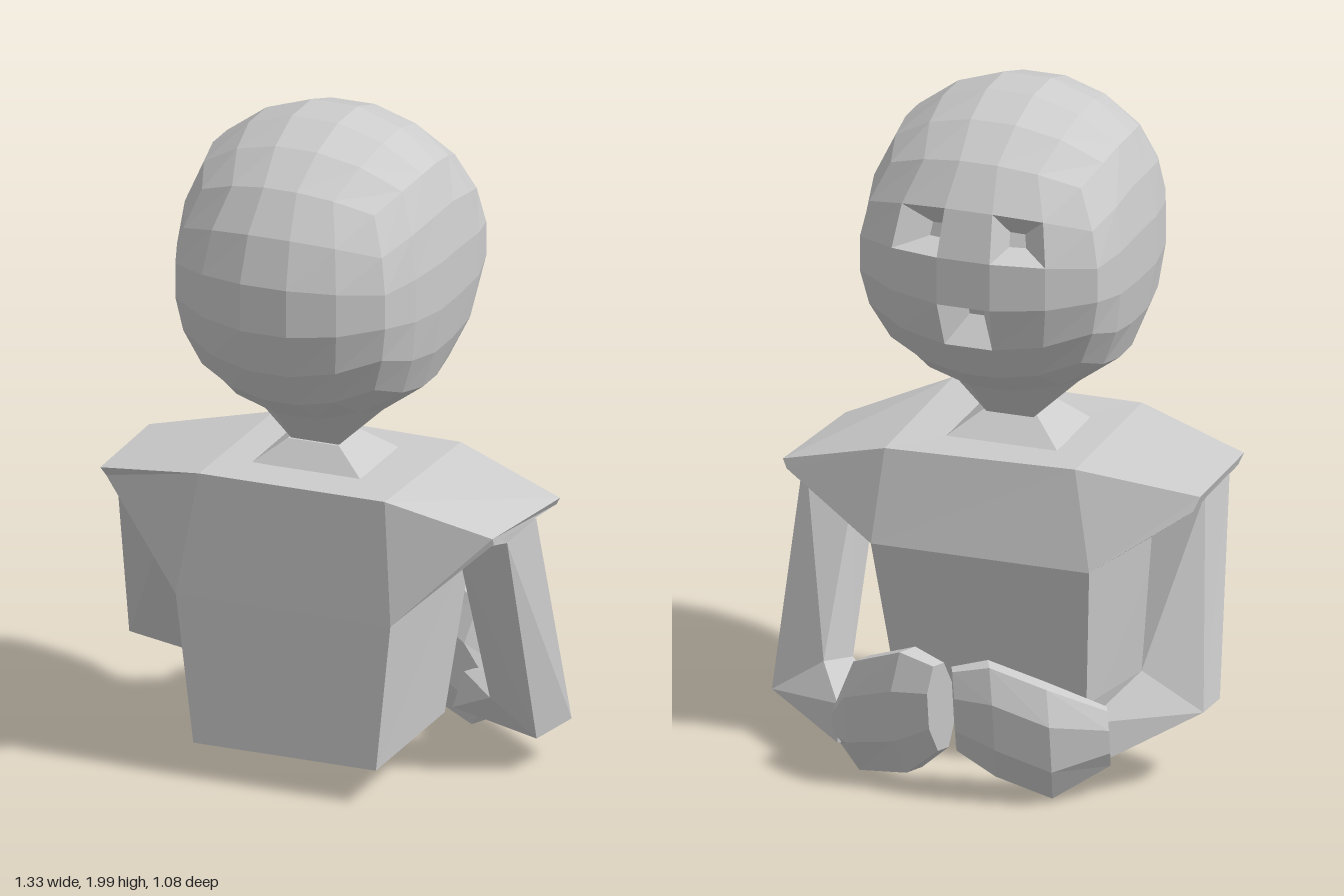
import * as THREE from 'three';

const grey = new THREE.MeshStandardMaterial({ color: 0xcccccc, flatShading: true });
grey.name = 'grey';

const V = (x, y, z) => new THREE.Vector3(x, y, z);

function meshFrom(name, tris) {
  const geo = new THREE.BufferGeometry().setFromPoints(tris);
  geo.computeVertexNormals();
  const mesh = new THREE.Mesh(geo, grey);
  mesh.name = name;
  return mesh;
}

// Closed skin over rings with equal point counts; always wound outward
function loft(name, rings) {
  const tris = [];
  const n = rings[0].length;
  for (let r = 0; r + 1 < rings.length; r++) {
    for (let i = 0; i < n; i++) {
      const j = (i + 1) % n;
      const [a, b, c, d] = [rings[r][i], rings[r][j], rings[r + 1][j], rings[r + 1][i]];
      tris.push(a, b, c, a, c, d);
    }
  }
  const first = rings[0], last = rings[rings.length - 1];
  for (let i = 1; i + 1 < n; i++) {
    tris.push(first[0], first[i + 1], first[i], last[0], last[i], last[i + 1]);
  }
  let volume = 0;
  for (let i = 0; i < tris.length; i += 3) {
    volume += tris[i].dot(tris[i + 1].clone().cross(tris[i + 2]));
  }
  return meshFrom(name, volume < 0 ? tris.reverse() : tris);
}

const ring = (points) => points.map((p) => V(...p));

// Horizontal rectangle
const rect = (x, y, z0, z1) => ring([[-x, y, z0], [x, y, z0], [x, y, z1], [-x, y, z1]]);

// Head: a cube grid wrapped to a ball, flattened at the sides
const HEAD = V(0, 1.54, 0.08);
function headPoint(p) {
  const q = V(...p.toArray().map((u) => Math.tan(u * Math.PI / 4))).normalize().multiplyScalar(0.466);
  // flat sides, widening gently toward the face
  const ax = Math.abs(q.x);
  const flat = ax < 0.33 ? ax : 0.33 + (ax - 0.33) * 0.52;
  const widen = 1 + 0.5 * THREE.MathUtils.clamp(-q.z - 0.1, 0, 0.25);
  q.x = Math.sign(q.x) * Math.min(flat * widen, 0.4);
  q.add(HEAD);
  // chin drawn down to the neck
  if (p.y < -0.99 && Math.abs(p.x) < 0.3 && Math.abs(p.z) < 0.3) q.y = 1.0;
  return q;
}

// Face openings: two eyes and a mouth, as grid cells on the -z side
function isSocket(c) {
  if (c.z > -0.99) return false;
  const near = (a, b) => Math.abs(a - b) < 0.1;
  const eye = near(Math.abs(c.x), 0.4) && near(c.y, 0.4);
  const mouth = near(c.x, 0) && near(c.y, -0.4);
  return eye || mouth;
}

const average = (pts) => pts.reduce((s, p) => s.add(p), V(0, 0, 0)).divideScalar(pts.length);

function buildHead() {
  const pos = new THREE.BoxGeometry(2, 2, 2, 5, 5, 5).toNonIndexed().attributes.position;
  const tris = [];
  const quad = (a, b, c, d) => tris.push(a, b, d, b, c, d);
  for (let i = 0; i < pos.count; i += 6) {
    const raw = [0, 1, 4, 2].map((k) => new THREE.Vector3().fromBufferAttribute(pos, i + k));
    const corners = raw.map(headPoint);
    if (!isSocket(average(raw))) {
      quad(...corners);
      continue;
    }
    // sunken socket: four tapering walls and a small floor
    const centre = average(corners);
    const inward = HEAD.clone().sub(centre).normalize().multiplyScalar(0.09);
    const inner = corners.map((p) => p.clone().lerp(centre, 0.7).add(inward));
    for (let k = 0; k < 4; k++) {
      const j = (k + 1) % 4;
      quad(corners[k], corners[j], inner[j], inner[k]);
    }
    quad(...inner);
  }
  return meshFrom('head', tris);
}

// Hand: octagonal sections [x, y, z, half thickness, half height]
function hand(name, side, sections) {
  return loft(name, sections.map(([x, y, z, t, h]) => {
    const pts = [];
    for (let i = 0; i < 8; i++) {
      const a = (i + 0.5) * Math.PI / 4;
      const up = Math.sin(a) * h * 1.06, out = Math.cos(a) * t * 1.06;
      // thickness runs across the hand; the top leans away from the body
      pts.push(V(side * (x + out * 0.4), y + up, z - out * 0.9 - up * 0.14));
    }
    return pts;
  }));
}

export function createModel() {
  const model = new THREE.Group();
  model.name = 'bust';

  model.add(buildHead());
  model.add(loft('neck', [rect(0.17, 0.935, 0.22, -0.06), rect(0.08, 1.005, 0.165, 0.015)]));

  // Torso: tapered waist below, winged shoulders above
  model.add(loft('waist', [
    rect(0.285, 0.11, 0.375, -0.13),
    ring([[-0.34, 0.56, 0.375], [0.33, 0.56, 0.375], [0.33, 0.65, -0.25], [-0.34, 0.65, -0.25]]),
  ]));
  model.add(loft('shoulders', [
    ring([[-0.62, 0.87, 0.27], [-0.625, 0.87, -0.1], [-0.61, 0.83, -0.12], [-0.61, 0.84, 0.25]]),
    ring([[-0.27, 0.94, 0.37], [-0.27, 0.935, -0.18], [-0.34, 0.65, -0.25], [-0.34, 0.56, 0.375]]),
    ring([[0.31, 0.94, 0.37], [0.31, 0.925, -0.19], [0.33, 0.65, -0.25], [0.33, 0.56, 0.375]]),
    ring([[0.6, 0.83, 0.26], [0.645, 0.825, -0.13], [0.63, 0.8, -0.14], [0.6, 0.81, 0.25]]),
  ]));

  // Arms: shoulder, elbow and wrist sections
  model.add(loft('leftArm', [
    ring([[0.62, 0.8, 0.2], [0.63, 0.81, 0.01], [0.47, 0.74, 0.0], [0.46, 0.74, 0.18]]),
    ring([[0.61, 0.11, -0.04], [0.66, 0.13, -0.18], [0.49, 0.25, -0.21], [0.46, 0.21, -0.05]]),
    ring([[0.25, 0.07, -0.27], [0.38, 0.08, -0.39], [0.38, 0.2, -0.39], [0.29, 0.19, -0.26]]),
  ]));
  model.add(loft('rightArm', [
    ring([[-0.61, 0.85, 0.18], [-0.61, 0.85, -0.02], [-0.45, 0.75, -0.02], [-0.44, 0.75, 0.17]]),
    ring([[-0.67, 0.24, -0.06], [-0.665, 0.24, -0.18], [-0.49, 0.36, -0.22], [-0.48, 0.33, -0.06]]),
    ring([[-0.28, 0.08, -0.26], [-0.38, 0.1, -0.39], [-0.38, 0.24, -0.38], [-0.3, 0.22, -0.26]]),
  ]));

  // Hands folded in front of the face side
  model.add(hand('leftHand', 1, [
    [0.38, 0.13, -0.32, 0.06, 0.08], [0.3, 0.18, -0.38, 0.085, 0.18],
    [0.13, 0.24, -0.455, 0.08, 0.2], [0.03, 0.27, -0.475, 0.055, 0.14],
  ]));
  model.add(hand('rightHand', -1, [
    [0.43, 0.19, -0.33, 0.05, 0.09], [0.28, 0.19, -0.42, 0.085, 0.18],
    [0.12, 0.25, -0.46, 0.08, 0.18], [0.01, 0.27, -0.475, 0.055, 0.13],
  ]));

  return model;
}
